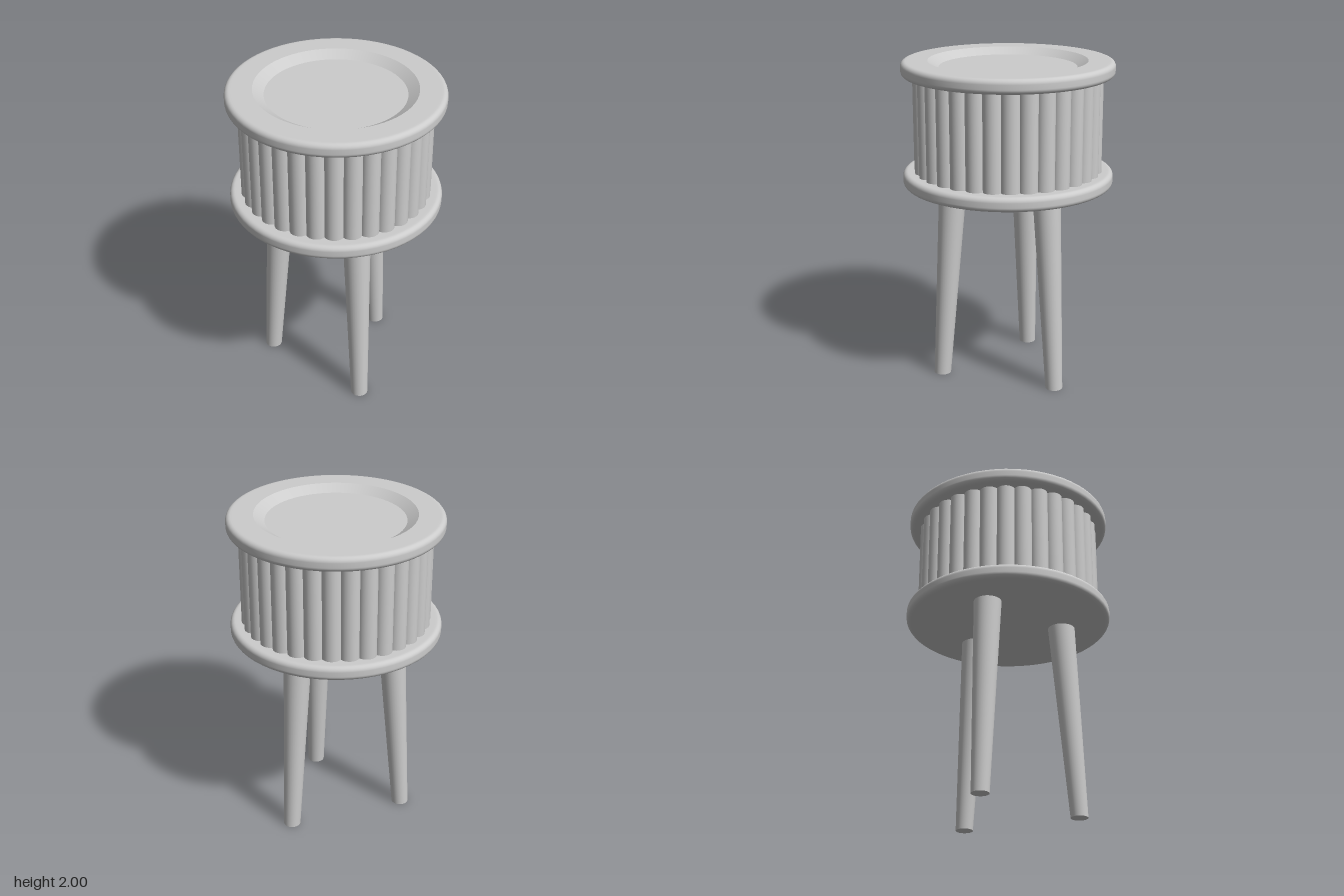
import * as THREE from 'three';

const SEG = 64;

// Revolve a list of [radius, y] points, running from bottom to top.
function revolve(points, material, name) {
  const geo = new THREE.LatheGeometry(points.map(([r, y]) => new THREE.Vector2(r, y)), SEG);
  const mesh = new THREE.Mesh(geo, material);
  mesh.name = name;
  return mesh;
}

// Rounded outer edge of a disc, between heights y0 and y1.
function roundedEdge(radius, y0, y1, round) {
  const pts = [];
  for (let i = 0; i <= 6; i++) {
    const a = -Math.PI / 2 + (i / 6) * (Math.PI / 2);
    pts.push([radius - round + Math.cos(a) * round, y0 + round + Math.sin(a) * round]);
  }
  for (let i = 0; i <= 6; i++) {
    const a = (i / 6) * (Math.PI / 2);
    pts.push([radius - round + Math.cos(a) * round, y1 - round + Math.sin(a) * round]);
  }
  return pts;
}

export function createModel() {
  const model = new THREE.Group();
  model.name = 'slattedSideTable';
  const grey = new THREE.MeshStandardMaterial({ color: 0xcccccc });
  grey.name = 'light grey';

  // Base disc
  const R = 0.642, round = 0.03;
  model.add(revolve(
    [[0, 1.24], [0.6, 1.24], ...roundedEdge(R, 1.24, 1.328, round), [0.6, 1.328], [0, 1.328]],
    grey, 'baseDisc'));

  // Top: rounded rim, sloped recess wall and flat recess floor
  const top = new THREE.Group();
  top.name = 'top';
  top.add(revolve(
    [[0, 1.912], [0.6, 1.912], ...roundedEdge(R, 1.912, 2, round), [0.6, 2], [0.48, 2]],
    grey, 'topRim'));
  top.add(revolve([[0.48, 2], [0.415, 1.96]], grey, 'recessWall'));
  top.add(revolve([[0.415, 1.96], [0, 1.96]], grey, 'recessFloor'));
  model.add(top);

  // Drum of upright round slats
  const drum = new THREE.Group();
  drum.name = 'drum';
  const core = new THREE.Mesh(new THREE.CylinderGeometry(0.52, 0.52, 0.6, SEG, 1, true), grey);
  core.name = 'drumCore';
  core.position.y = 1.62;
  drum.add(core);
  const slatGeo = new THREE.CylinderGeometry(0.06, 0.06, 0.6, 24, 1, true);
  const slats = 32;
  for (let i = 0; i < slats; i++) {
    const a = (i / slats) * Math.PI * 2;
    const slat = new THREE.Mesh(slatGeo, grey);
    slat.name = 'slat';
    slat.position.set(Math.sin(a) * 0.514, 1.62, Math.cos(a) * 0.514);
    drum.add(slat);
  }
  model.add(drum);

  // Three tapered legs, splayed outwards with level ends
  const H = 1.245;
  const legGeo = new THREE.CylinderGeometry(0.085, 0.053, H, 32);
  legGeo.translate(0, H / 2, 0);
  legGeo.applyMatrix4(new THREE.Matrix4().set(
    1, 0, 0, 0,
    0, 1, 0, 0,
    0, -0.085 / H, 1, 0.428,
    0, 0, 0, 1));
  for (let i = 0; i < 3; i++) {
    const leg = new THREE.Mesh(legGeo, grey);
    leg.name = 'leg';
    leg.rotation.y = (i / 3) * Math.PI * 2 - 0.015;
    model.add(leg);
  }
  return model;
}
